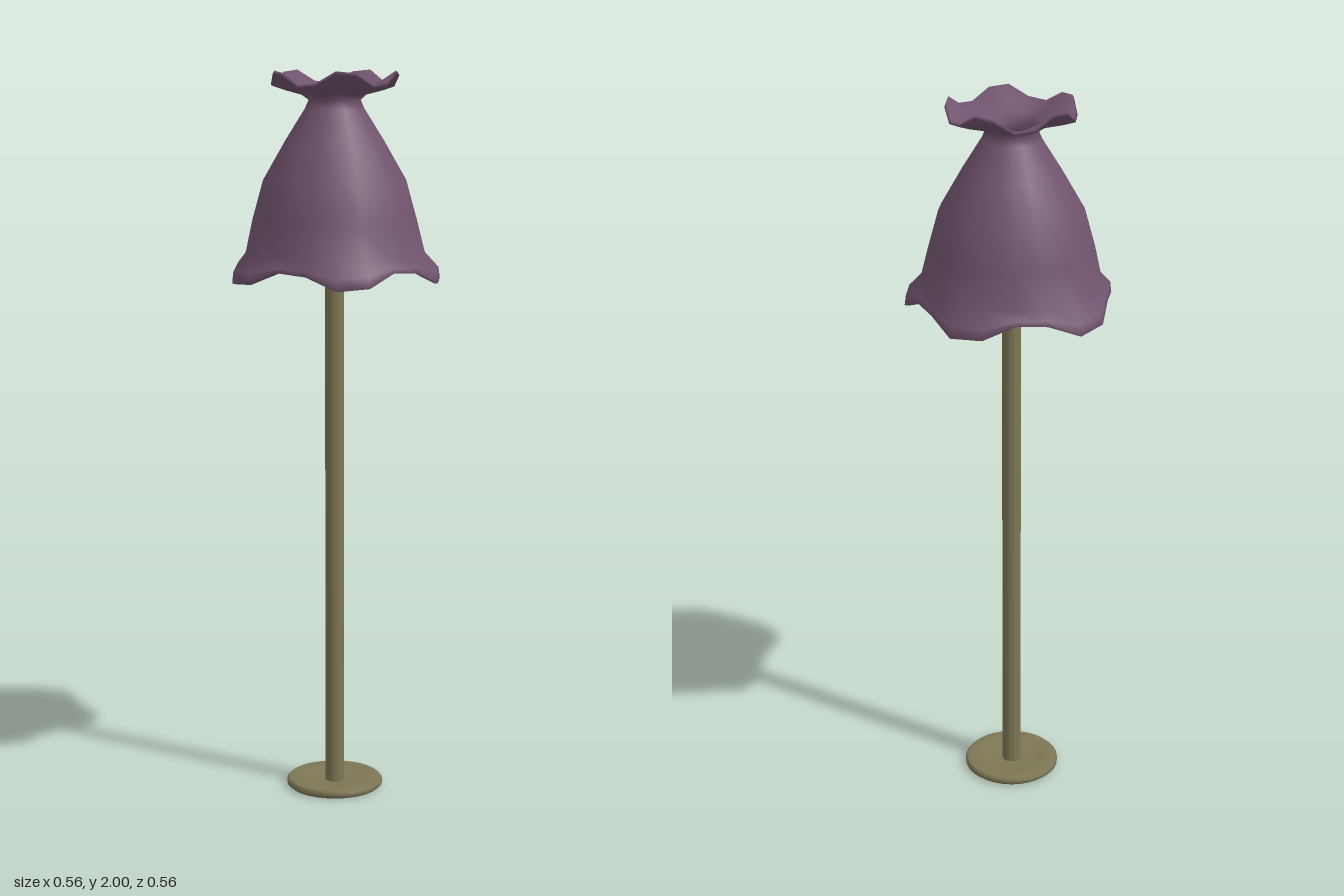
import * as THREE from 'three';
import { mergeVertices } from 'three/addons/utils/BufferGeometryUtils.js';

const CENTRE_Z = 0.012;
const LOBES = 5, LOBE_ANGLE = THREE.MathUtils.degToRad(47);

function mesh(name, geometry, material, y = 0) {
  const m = new THREE.Mesh(geometry, material);
  m.name = name;
  m.position.set(0, y, CENTRE_Z);
  return m;
}

// Fabric shade: a thin-walled lathe whose hem and top frill ripple in five lobes
function shadeGeometry() {
  // radius, height, ripple of radius, ripple of height
  const outer = [
    [0.277, 1.455, 0.016, -0.025],
    [0.272, 1.476, 0.018, -0.012],
    [0.243, 1.51, 0.003, 0],
    [0.222, 1.6, 0, 0],
    [0.193, 1.705, 0, 0],
    [0.133, 1.81, 0, 0],
    [0.08, 1.895, 0, 0],
    [0.07, 1.918, 0, 0],
    [0.088, 1.933, 0, 0.003],
    [0.135, 1.952, 0, 0.013],
    [0.172, 1.97, 0.002, 0.022],
  ];
  const thickness = 0.009;
  const inner = outer.map(([r, y, dr, dy], i) => {
    const a = outer[Math.max(i - 1, 0)], b = outer[Math.min(i + 1, outer.length - 1)];
    const t = new THREE.Vector2(b[0] - a[0], b[1] - a[1]).normalize();
    return [r - t.y * thickness, y + t.x * thickness, dr, dy];
  });
  const loop = [...outer, ...inner.reverse(), outer[0]];
  const geo = new THREE.LatheGeometry(loop.map(([r, y]) => new THREE.Vector2(r, y)), 20);
  const pos = geo.attributes.position;
  for (let i = 0; i < pos.count; i++) {
    const [r, y, dr, dy] = loop[i % loop.length];
    const angle = Math.atan2(pos.getZ(i), pos.getX(i));
    const wave = Math.cos(LOBES * (angle - LOBE_ANGLE));
    const radius = r + dr * wave;
    pos.setXYZ(i, radius * Math.cos(angle), y + dy * wave, radius * Math.sin(angle));
  }
  // Weld the seam so the cloth shades smoothly
  geo.deleteAttribute('normal');
  geo.deleteAttribute('uv');
  const welded = mergeVertices(geo, 1e-4);
  welded.computeVertexNormals();
  return welded;
}

export function createModel() {
  const lamp = new THREE.Group();
  lamp.name = 'floorLamp';
  const metal = new THREE.MeshStandardMaterial({ color: 0x7d7755 });
  const fabric = new THREE.MeshStandardMaterial({ color: 0x71546e, side: THREE.DoubleSide });
  const glow = new THREE.MeshStandardMaterial({ color: 0xffff00 });

  // Round foot with a shallow dish around the pole
  const foot = [[0, 0], [0.127, 0], [0.134, 0.006], [0.134, 0.017], [0.127, 0.024], [0.085, 0.024], [0.07, 0.014], [0, 0.014]];
  lamp.add(mesh('base', new THREE.LatheGeometry(foot.map(([r, y]) => new THREE.Vector2(r, y)), 32), metal));

  // Pole, bulb and shade
  lamp.add(mesh('pole', new THREE.CylinderGeometry(0.026, 0.026, 1.69, 20), metal, 0.855));
  lamp.add(mesh('bulb', new THREE.SphereGeometry(0.06, 20, 14), glow, 1.74));
  lamp.add(mesh('shade', shadeGeometry(), fabric));
  return lamp;
}
